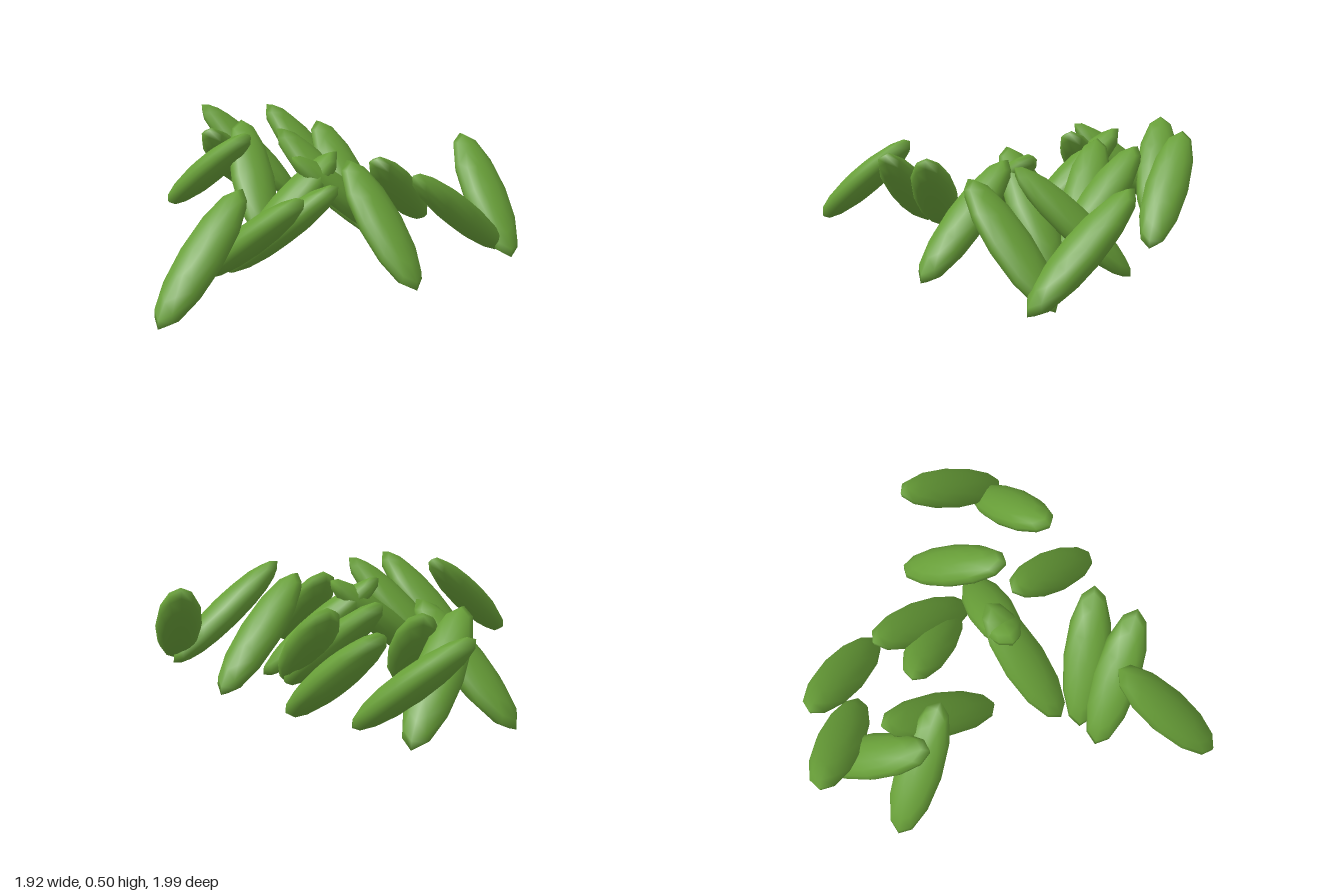
import * as THREE from 'three';

// Leaf centre x, centre z, and heading in degrees of its raised end (0 = +x, 90 = -z)
const LEAVES = [
  [-0.475, 0.74, 59],
  [-0.295, 0.505, -22],
  [-0.18, 0.37, -9],
  [-0.185, 0.06, 38],
  [0.1, -0.095, 200],
  [-0.7, -0.475, -26],
  [-0.625, -0.69, 260],
  [-0.435, -0.365, 112],
  [0.79, -0.262, 119],
  [0.29, 0.23, 131],
  [0.35, -0.275, 249],
  [0.66, 0.04, 219],
  [0.05, -0.44, 129],
  [-0.05, -0.385, 160],
  [-0.545, -0.853, 167],
  [-0.2, -0.835, 153],
];

const TILT = THREE.MathUtils.degToRad(40.4);

export function createModel() {
  const model = new THREE.Group();
  model.name = 'leafCluster';

  const green = new THREE.MeshStandardMaterial({ color: 0x689f38 });
  green.name = 'leaf green';

  // One flattened, elongated leaf shared by the whole cluster
  const leafGeometry = new THREE.SphereGeometry(1, 12, 8);
  leafGeometry.scale(0.377, 0.077, 0.116);

  LEAVES.forEach(([x, z, heading], i) => {
    const leaf = new THREE.Mesh(leafGeometry, green);
    leaf.name = `leaf${i + 1}`;
    leaf.position.set(x, 0.25, z);
    // Tilt the long axis upward, then turn it to its heading
    leaf.rotation.set(0, THREE.MathUtils.degToRad(heading), TILT, 'YZX');
    model.add(leaf);
  });

  return model;
}
